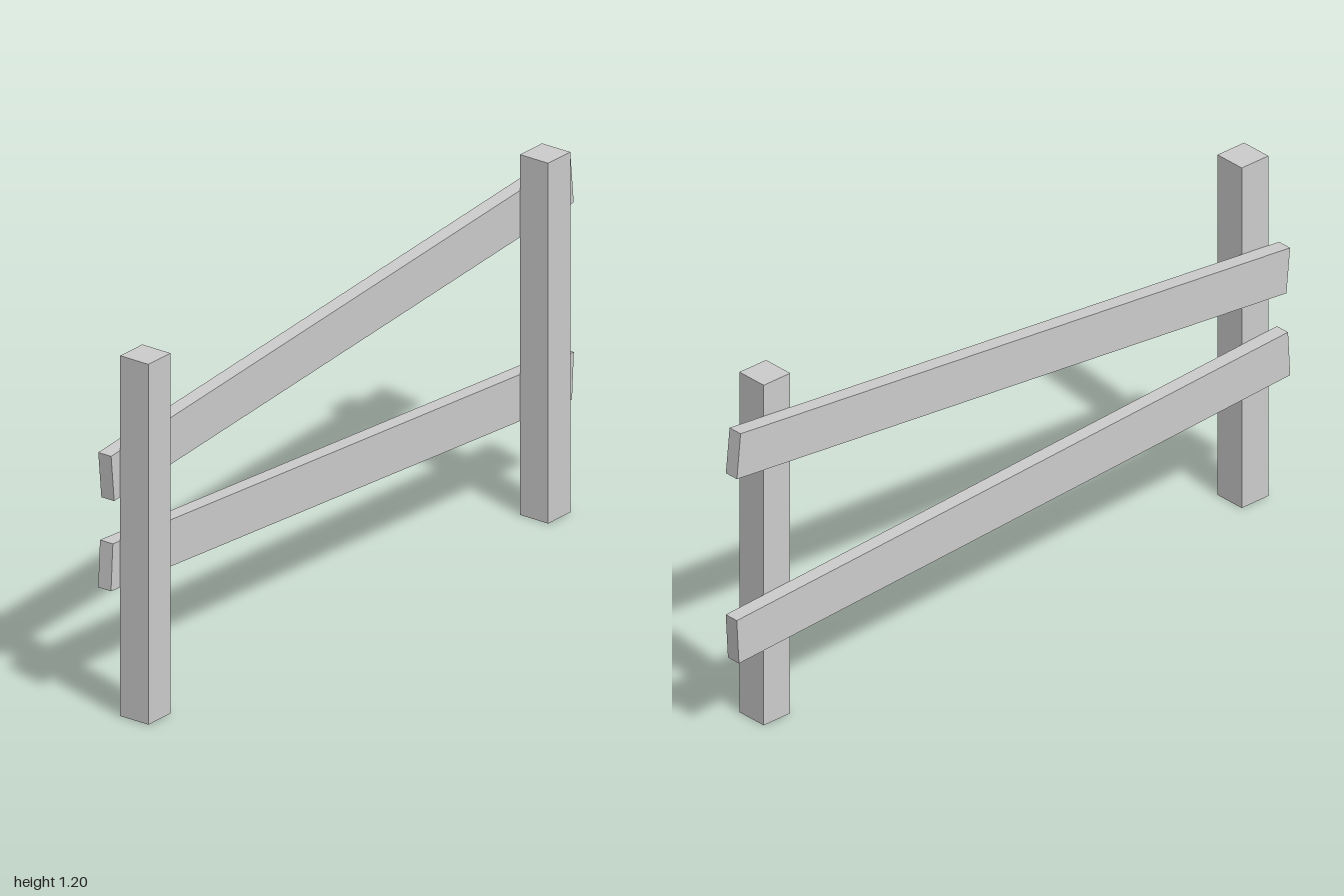
import * as THREE from 'three';

export function createModel() {
  const model = new THREE.Group();
  const material = new THREE.MeshStandardMaterial({ color: 0xcccccc, flatShading: true });

  // The whole fence runs diagonally across the ground
  const fence = new THREE.Group();
  fence.name = 'fence';
  fence.rotation.y = THREE.MathUtils.degToRad(30.5);
  model.add(fence);

  const addBoard = (name, size, position, tilt = 0) => {
    const mesh = new THREE.Mesh(new THREE.BoxGeometry(...size), material);
    mesh.name = name;
    mesh.position.set(...position);
    mesh.rotation.z = THREE.MathUtils.degToRad(tilt);
    fence.add(mesh);
  };

  // Square upright posts, in front of the rails
  addBoard('rightPost', [0.11, 1.2, 0.11], [-1.028, 0.6, 0.05]);
  addBoard('leftPost', [0.11, 1.2, 0.11], [0.952, 0.6, 0.05]);

  // Crooked rails fixed to the back of the posts
  addBoard('upperRail', [2.287, 0.155, 0.05], [0.018, 0.915, -0.03], 5.65);
  addBoard('lowerRail', [2.287, 0.155, 0.05], [0.018, 0.441, -0.03], -3.35);

  return model;
}
